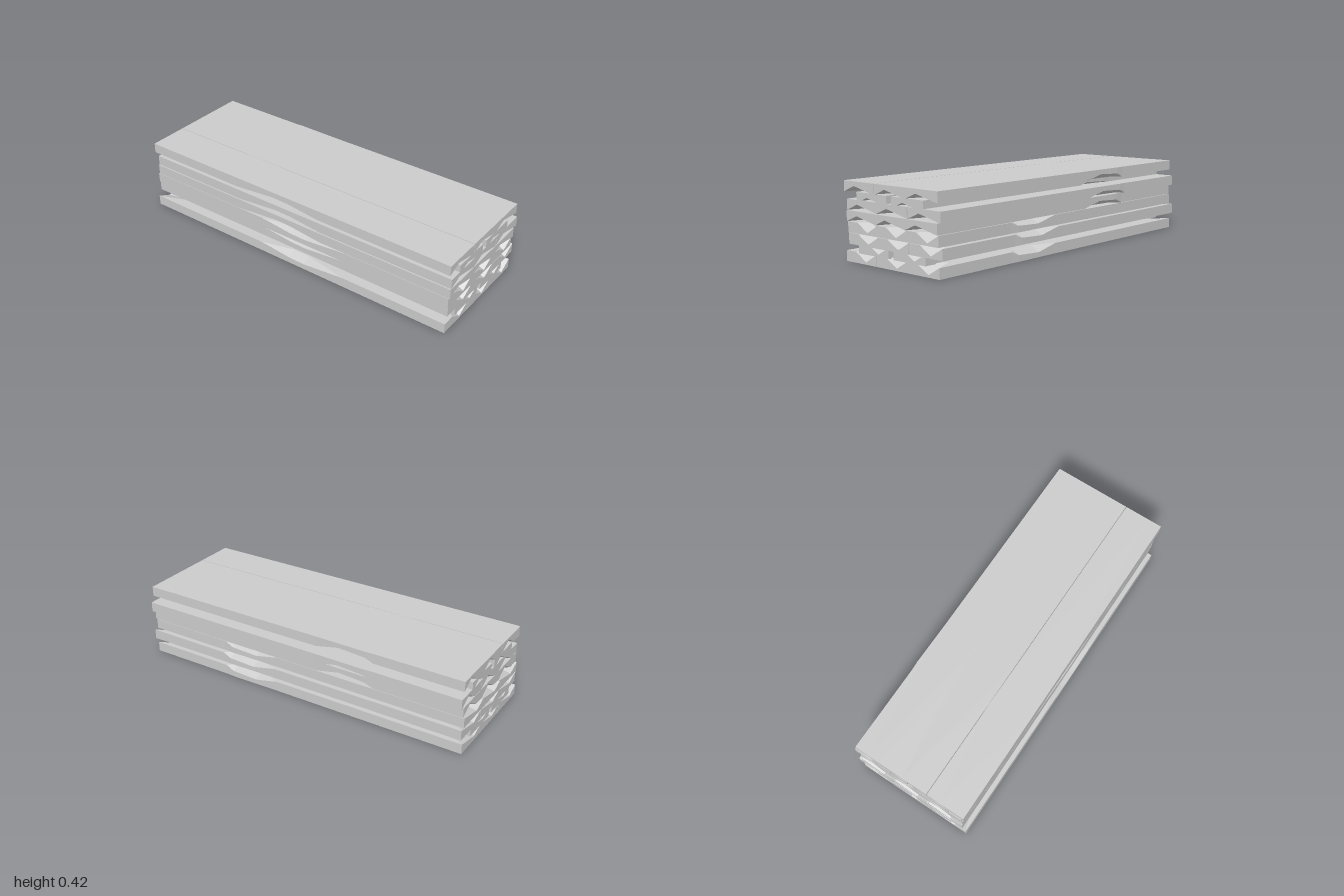
import * as THREE from 'three';

const W = 0.228, H = 0.057, FRONT = 1, BACK = -0.992;
const material = new THREE.MeshStandardMaterial({ color: 0xcccccc, flatShading: true, side: THREE.DoubleSide });

// Outline of the plank underside: x, z, chipped height, and where the chip runs out (x, z)
const outline = [
  [0, FRONT, 0],
  [0.078, FRONT, 0.033, 0.078, 0.8],       // front end chip
  [W, FRONT, 0],
  [W, -0.13, 0],
  [W + 0.001, -0.27, 0.03, W - 0.06, -0.27], // long chip on the left edge
  [W + 0.003, -0.43, 0.022, W - 0.05, -0.43],
  [W, -0.48, 0],
  [W, BACK, 0],
  [0.151, BACK, 0.045, 0.165, BACK + 0.12],  // back end chip
  [0.075, BACK, 0],
  [0, BACK, 0],
  [0, -0.36, 0],
  [0, -0.1, 0.025, 0.05, -0.1],            // long chip on the right edge
  [0, 0, 0.022, 0.05, 0],
  [0, 0.2, 0],
];

function plankGeometry() {
  const pos = [];
  const tri = (...pts) => pts.forEach((p) => pos.push(...p));
  const edge = outline.map(([x, z, h]) => [x, h, z]);
  const top = outline.map(([x, z]) => [x, H, z]);
  const inner = outline.map(([x, z, , ix = x, iz = z]) => [ix, 0, iz]);
  const cap = (ring) => THREE.ShapeUtils.triangulateShape(
    ring.map(([x, , z]) => new THREE.Vector2(x, -z)), []);

  for (let i = 0; i < outline.length; i++) {
    const j = (i + 1) % outline.length;
    // side walls
    tri(edge[i], edge[j], top[j]);
    tri(edge[i], top[j], top[i]);
    // sloping chip faces
    if (outline[i][2] > 0) tri(edge[i], inner[i], inner[j]);
    if (outline[j][2] > 0) tri(edge[i], inner[j], edge[j]);
  }
  // flat top and underside
  cap(top).forEach(([a, b, c]) => tri(top[a], top[b], top[c]));
  cap(inner).forEach(([a, b, c]) => tri(inner[a], inner[c], inner[b]));

  const geometry = new THREE.BufferGeometry();
  geometry.setAttribute('position', new THREE.Float32BufferAttribute(pos, 3));
  geometry.computeVertexNormals();
  return geometry;
}

// Layers of one half stack: base height and the starting x of each plank
const layers = [
  [0.211, [-0.338, -0.123, 0.097]],
  [0.27, [-0.333, -0.11, 0.122]],
  [0.311, [-0.257, 0.006]],
  [0.363, [-0.354, -0.122, 0.102]],
];

function halfStack(name, geometry) {
  const half = new THREE.Group();
  half.name = name;
  layers.forEach(([y, starts], row) => {
    const layer = new THREE.Group();
    layer.name = `plankLayer${row + 1}`;
    starts.forEach((x) => {
      const plank = new THREE.Mesh(geometry, material);
      plank.name = 'plank';
      plank.position.set(x, y, 0);
      layer.add(plank);
    });
    half.add(layer);
  });
  return half;
}

export function createModel() {
  const model = new THREE.Group();
  model.name = 'plankStack';
  const geometry = plankGeometry();
  const upper = halfStack('upperStack', geometry);
  // the lower half is the same stack turned over end to end
  const lower = halfStack('lowerStack', geometry);
  lower.rotation.x = Math.PI;
  lower.position.y = 0.42;
  model.add(upper, lower);
  return model;
}
